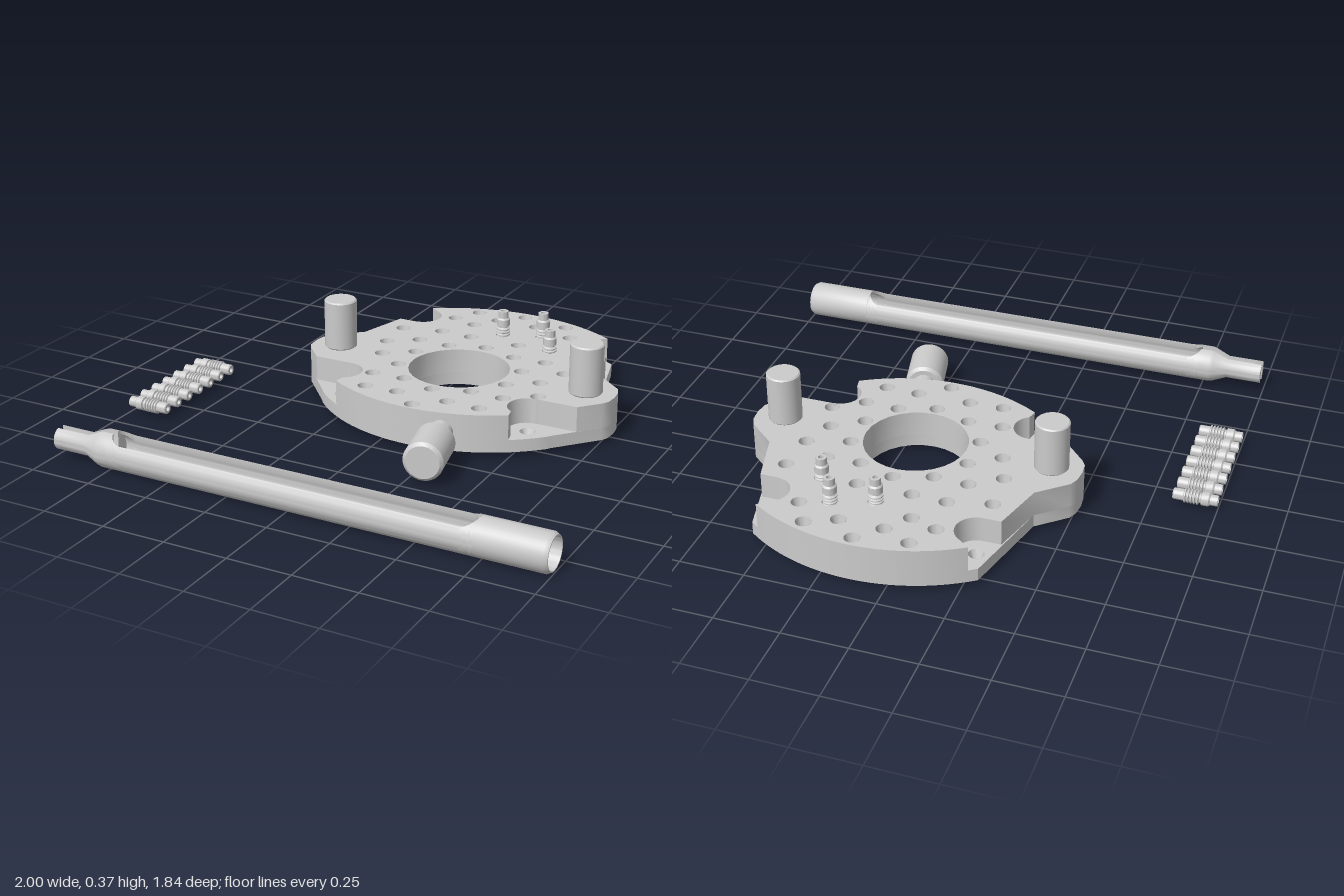
import * as THREE from 'three';
import { toCreasedNormals } from 'three/addons/utils/BufferGeometryUtils.js';

const CX = 0.13, CZ = -0.243; // centre of the plate bore
const grey = new THREE.MeshStandardMaterial({ color: 0xcccccc, side: THREE.DoubleSide });

function part(name, geometry, x = 0, y = 0, z = 0) {
  const mesh = new THREE.Mesh(toCreasedNormals(geometry, 0.6), grey);
  mesh.name = name;
  mesh.position.set(x, y, z);
  return mesh;
}

const lathe = (pts, n = 32) =>
  new THREE.LatheGeometry(pts.map(([r, y]) => new THREE.Vector2(r, y)), n);

// Solid cylinder along y with chamfered ends
const chamfered = (r, h, c) => lathe([[0, 0], [r - c, 0], [r, c], [r, h - c], [r - c, h], [0, h]], 40);

// Sampled circle arc, as [dx, z] points
function arc(cx, cz, r, from, to, n = 14) {
  return Array.from({ length: n + 1 }, (_, i) => {
    const a = THREE.MathUtils.degToRad(from + ((to - from) * i) / n);
    return [cx + r * Math.cos(a), cz + r * Math.sin(a)];
  });
}

// Back and front rims of the plate, from dx0 to dx1
const rim = (dx0, dx1, f) =>
  Array.from({ length: 17 }, (_, i) => { const d = dx0 + ((dx1 - dx0) * i) / 16; return [d, f(d)]; });
const backRim = (d) => -0.19 - Math.sqrt(0.735 ** 2 - d * d);
const frontRim = (d) => -0.471 + Math.sqrt(0.676 ** 2 - d * d);

// Plate layer: half outline mirrored, with holes, extruded upward
function plateLayer(half, holes, y0, y1) {
  const left = half.slice(1, -1).reverse().map(([d, z]) => [-d, z]);
  const shape = new THREE.Shape([...half, ...left].map(([d, z]) => new THREE.Vector2(CX + d, -z)));
  for (const [x, z, r] of holes) {
    const hole = new THREE.Path();
    hole.absarc(x, -z, r, 0, Math.PI * 2, true);
    shape.holes.push(hole);
  }
  const geo = new THREE.ExtrudeGeometry(shape, { depth: y1 - y0, bevelEnabled: false, curveSegments: r32(holes) });
  geo.rotateX(-Math.PI / 2);
  geo.translate(0, y0, 0);
  return geo;
}
const r32 = () => 14;

function holePositions() {
  const list = [];
  // Three full rings of ten
  for (const [r, start] of [[0.244, 0], [0.344, 18], [0.41, 0]])
    for (let i = 0; i < 10; i++) {
      const a = THREE.MathUtils.degToRad(start + i * 36);
      list.push([CX + r * Math.sin(a), CZ - r * Math.cos(a)]);
    }
  // Extra holes towards the back
  list.push([CX, -0.882]);
  for (const [d, z] of [[0.198, -0.848], [0.086, -0.797], [0.26, -0.743], [0.155, -0.706], [0.401, -0.535]])
    for (const s of [-1, 1]) list.push([CX + s * d, z]);
  return list;
}

function makePlate() {
  const g = new THREE.Group();
  g.name = 'plate';
  const lug = [[0.52, -0.42], [0.63, -0.325], [0.645, -0.29], [0.65, -0.24], [0.645, -0.19], [0.63, -0.165]];
  const holes = holePositions();
  const corners = [];
  for (const s of [-1, 1]) for (const z of [-0.706, -0.01]) corners.push([CX + s * 0.396, z]);
  const bore = [CX, -0.238, 0.2];

  const full = [...rim(0, 0.43, backRim), ...lug, [0.49, -0.01], ...rim(0.48, 0, frontRim)];
  const notched = [
    ...rim(0, 0.4, backRim), ...arc(0.396, -0.706, 0.079, 240, 90), [0.463, -0.627], ...lug,
    [0.56, -0.089], ...arc(0.396, -0.01, 0.079, 270, 120), ...rim(0.365, 0, frontRim),
  ];
  g.add(part('plateBase', plateLayer(full,
    [bore, ...holes.map(([x, z]) => [x, z, 0.013]), ...corners.map(([x, z]) => [x, z, 0.03])], 0.02, 0.07)));
  g.add(part('plateTop', plateLayer(notched, [bore, ...holes.map(([x, z]) => [x, z, 0.03])], 0.07, 0.17)));

  // Tapered seats inside the holes
  const seat = new THREE.CylinderGeometry(0.03, 0.013, 0.1, 20, 1, true);
  const cornerSeat = new THREE.CylinderGeometry(0.03, 0.013, 0.05, 20, 1, true);
  for (const [x, z] of holes) g.add(part('holeSeat', seat, x, 0.12, z));
  for (const [x, z] of corners) g.add(part('cornerSeat', cornerSeat, x, 0.045, z));

  // Two upright posts on the side lugs
  for (const s of [-1, 1]) g.add(part('post', chamfered(0.065, 0.2, 0.005), CX + s * 0.532, 0.17, -0.24));
  return g;
}

// Side knob on a short neck, leaning slightly outward
function makeKnob() {
  const g = new THREE.Group();
  g.name = 'knob';
  g.add(part('knobNeck', new THREE.CylinderGeometry(0.045, 0.045, 0.16, 28), 0, -0.07, 0));
  g.add(part('knobGrip', chamfered(0.076, 0.205, 0.012)));
  g.position.set(0.283, 0.095, 0.27);
  g.quaternion.setFromUnitVectors(new THREE.Vector3(0, 1, 0), new THREE.Vector3(0.045, 0, 0.2).normalize());
  return g;
}

// Hollow ribbed guide sleeve, standing on its lower end
function sleeveGeometry() {
  const pts = [[0.01, 0], [0.019, 0], [0.022, 0.004], [0.022, 0.04]];
  for (let i = 0; i < 5; i++) {
    const y = 0.04 + i * 0.012;
    pts.push([0.022, y + 0.001], [0.028, y + 0.004], [0.028, y + 0.008], [0.022, y + 0.011]);
  }
  pts.push([0.02, 0.101], [0.02, 0.106], [0.027, 0.109], [0.027, 0.136], [0.021, 0.142],
    [0.021, 0.17], [0.01, 0.17], [0.01, 0]);
  return lathe(pts, 20);
}

// Slotted tube lofted along x; stations are [x, outer, inner, outer gap, inner gap]
function loftTube(stations, n = 36) {
  const pos = [];
  const rings = stations.map(([x, R, r, gR, gr]) => {
    const row = (rad, gap) => Array.from({ length: n + 1 }, (_, j) => {
      const t = gap + ((2 * Math.PI - 2 * gap) * j) / n;
      return [x, rad * Math.cos(t), rad * Math.sin(t)];
    });
    return [...row(R, gR), ...row(r, gr).reverse()];
  });
  const quad = (a, b, c, d) => pos.push(...a, ...b, ...c, ...a, ...c, ...d);
  const m = 2 * n + 2;
  for (let i = 0; i < rings.length - 1; i++)
    for (let j = 0; j < m; j++) {
      const k = (j + 1) % m, A = rings[i], B = rings[i + 1];
      quad(A[j], A[k], B[k], B[j]);
    }
  const S = rings[0], E = rings[rings.length - 1];
  for (let j = 0; j < n; j++) {
    quad(E[j], E[j + 1], E[m - 2 - j], E[m - 1 - j]);
    quad(S[j], S[m - 1 - j], S[m - 2 - j], S[j + 1]);
  }
  const geo = new THREE.BufferGeometry();
  geo.setAttribute('position', new THREE.Float32BufferAttribute(pos, 3));
  geo.computeVertexNormals();
  return geo;
}

function makeTube() {
  const g = new THREE.Group();
  g.name = 'slottedTube';
  const R = 0.072, r = 0.06, w = 0.055, slit = 0.0145;
  const gaps = (h) => [Math.asin(h / R), Math.asin(Math.min(1, h / r))];
  const neck = (x, rad) => [x, rad, slit, Math.asin(slit / rad), Math.PI / 2];
  const stations = [neck(-0.955, 0.045), neck(-0.845, 0.045), neck(-0.79, 0.068), neck(-0.775, R), neck(-0.735, R)];
  // Rounded slot ends
  for (let i = 0; i <= 8; i++) {
    const a = 0.26 + ((Math.PI / 2 - 0.26) * i) / 8;
    stations.push([-0.68 - w * Math.cos(a), R, r, ...gaps(w * Math.sin(a))]);
  }
  for (let i = 0; i <= 10; i++) {
    const a = ((Math.PI / 2) * i) / 10;
    stations.push([0.68 + w * Math.sin(a), R, r, ...gaps(Math.max(0, w * Math.cos(a)))]);
  }
  stations.push([0.985, R, r, 0, 0], [1, 0.064, r, 0, 0]);
  g.add(part('tubeBody', loftTube(stations)));

  // Two prongs at the tip of the neck
  const half = Math.acos(slit / 0.045);
  for (const s of [0, Math.PI]) {
    const shape = new THREE.Shape();
    shape.absarc(0, 0, 0.045, s - half, s + half, false);
    const prong = new THREE.ExtrudeGeometry(shape, { depth: 0.03, bevelEnabled: false, curveSegments: 20 });
    prong.rotateY(Math.PI / 2);
    g.add(part('prong', prong, -0.985, 0, 0));
  }
  g.position.set(0, 0.072, 0.843);
  return g;
}

export function createModel() {
  const model = new THREE.Group();
  model.name = 'drillGuideSet';
  model.add(makePlate(), makeKnob(), makeTube());

  const sleeve = sleeveGeometry();
  // Sleeves standing in the plate
  for (const [x, z, top] of [[0.13, -0.653, 0.275], [0.285, -0.706, 0.275], [0.371, -0.575, 0.26]])
    model.add(part('standingSleeve', sleeve, x, top - 0.17, z));
  // Row of loose sleeves lying down
  for (let i = 0; i < 7; i++) {
    const loose = part('looseSleeve', sleeve, -0.83, 0.04, -0.075 + i * 0.0757);
    loose.rotation.z = Math.PI / 2;
    model.add(loose);
  }
  return model;
}
